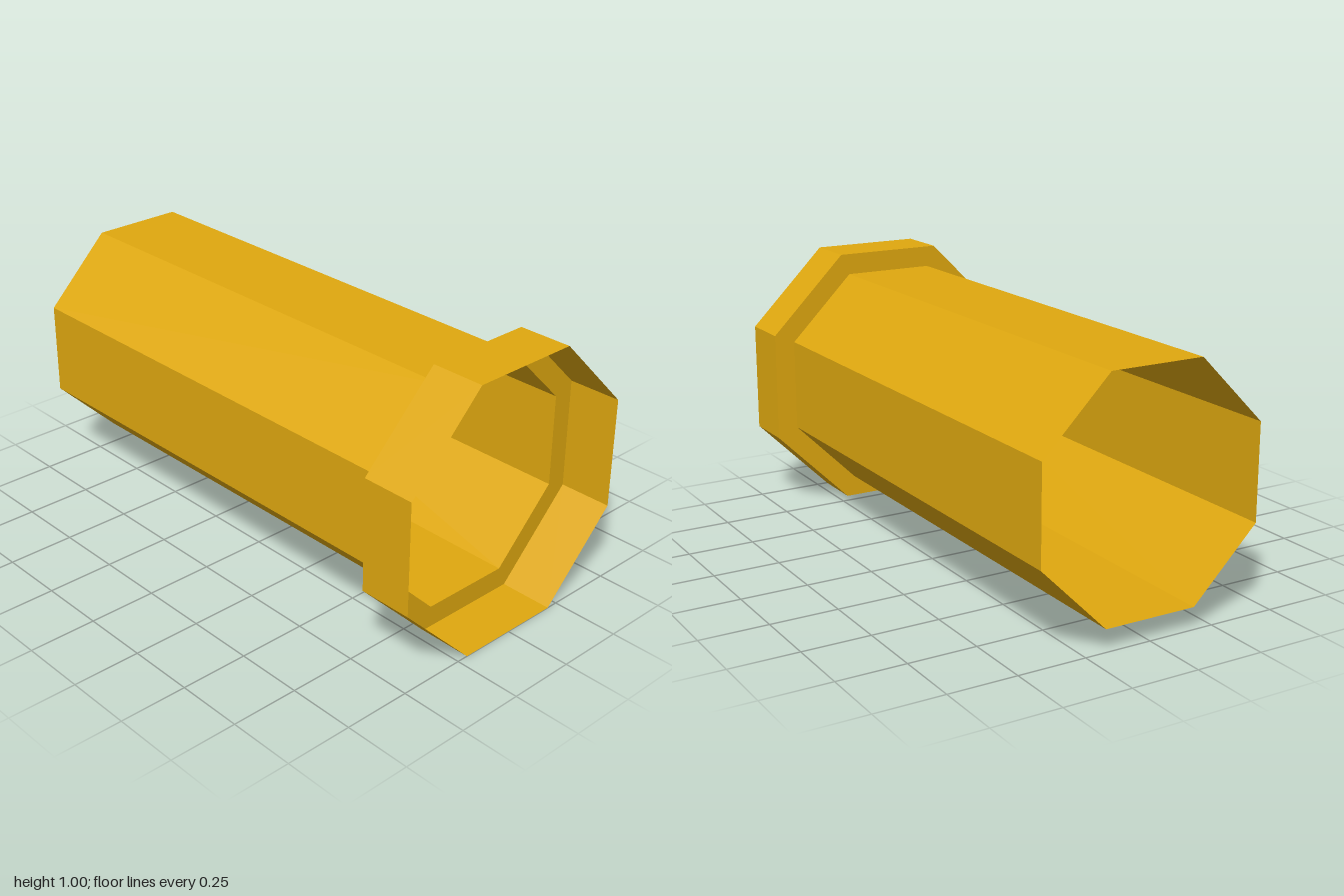
import * as THREE from 'three';

const SIDES = 8;
const BARREL = 0.42; // distance from axis to each flat
const COLLAR = 0.5;
const STEP_X = 0.8;

// Open octagonal shell along x from [apothem, x] profile points, flats facing up and forward
function octagonShell(name, profile, material) {
  const points = profile.map(([apothem, x]) =>
    new THREE.Vector2(apothem / Math.cos(Math.PI / SIDES), x));
  const geometry = new THREE.LatheGeometry(points, SIDES, Math.PI / SIDES).toNonIndexed();
  geometry.rotateZ(-Math.PI / 2);
  geometry.computeVertexNormals();
  const mesh = new THREE.Mesh(geometry, material);
  mesh.name = name;
  return mesh;
}

export function createModel() {
  const gold = new THREE.MeshStandardMaterial({
    color: 0xdfa80f, flatShading: true, side: THREE.DoubleSide,
  });
  gold.name = 'gold';

  const model = new THREE.Group();
  model.name = 'flangedPipe';
  model.add(
    // Long thin-walled pipe, open at both ends
    octagonShell('barrel', [[BARREL, -1], [BARREL, STEP_X]], gold),
    // Flat shoulder stepping out to the wider socket
    octagonShell('shoulder', [[BARREL, STEP_X], [COLLAR, STEP_X]], gold),
    // Wider open socket
    octagonShell('collar', [[COLLAR, STEP_X], [COLLAR, 1]], gold),
  );
  // Rest the collar on the ground
  for (const part of model.children) part.position.y = COLLAR;
  return model;
}
